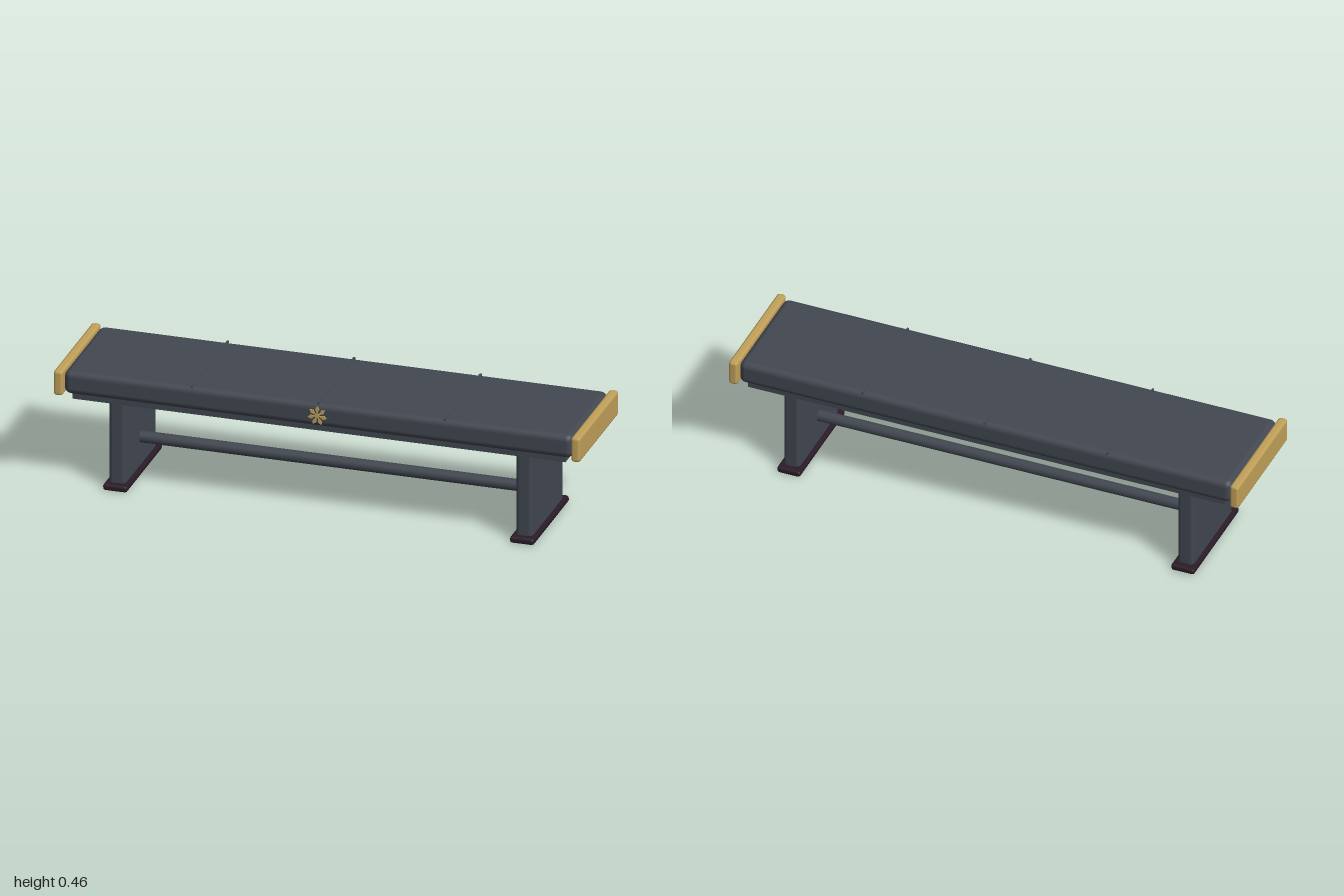
import * as THREE from 'three';
import { RoundedBoxGeometry } from 'three/addons/geometries/RoundedBoxGeometry.js';

export function createModel() {
  const model = new THREE.Group();
  model.name = 'bench';

  const material = (name, color) => {
    const m = new THREE.MeshStandardMaterial({ color });
    m.name = name;
    return m;
  };
  const slate = material('slate', 0x424751);
  const gold = material('gold', 0xc2a25a);
  const plum = material('dark plum', 0x2b1c28);

  const add = (name, geometry, mat, x, y, z, parent = model) => {
    const mesh = new THREE.Mesh(geometry, mat);
    mesh.name = name;
    mesh.position.set(x, y, z);
    parent.add(mesh);
    return mesh;
  };
  // Box with softened edges, given by its bottom and top heights
  const softBox = (name, mat, x, w, y0, y1, d, radius, segments = 1) =>
    add(name, new RoundedBoxGeometry(w, y1 - y0, d, segments, radius), mat, x, (y0 + y1) / 2, 0);

  // Cushioned seat and the board beneath it
  softBox('seat', slate, 0, 1.93, 0.363, 0.455, 0.44, 0.025, 2);
  add('seatBoard', new THREE.BoxGeometry(1.87, 0.024, 0.4), slate, 0, 0.354, 0);

  // Raised seams across the seat
  for (const x of [-0.48, 0, 0.48]) {
    add('seatSeam', new THREE.BoxGeometry(0.008, 0.008, 0.43), slate, x, 0.453, -0.003);
  }

  // End caps, legs and feet on both sides
  for (const side of [-1, 1]) {
    softBox('endCap', gold, side * 0.982, 0.036, 0.359, 0.457, 0.466, 0.012);
    softBox('leg', slate, side * 0.772, 0.064, 0.01, 0.357, 0.374, 0.016);
    softBox('foot', plum, side * 0.772, 0.092, 0, 0.026, 0.426, 0.01);
  }

  // Stretcher bar between the legs
  const bar = add('stretcher', new THREE.CylinderGeometry(0.022, 0.022, 1.52, 10), slate, 0, 0.136, 0);
  bar.rotation.z = Math.PI / 2;

  // Small flower ornament on the seat front
  const flower = new THREE.Group();
  flower.name = 'flowerOrnament';
  flower.position.set(0, 0.409, 0.219);
  model.add(flower);
  const petalShape = new THREE.Shape();
  petalShape.moveTo(0, 0.006);
  petalShape.lineTo(0.0075, 0.025);
  petalShape.lineTo(0, 0.037);
  petalShape.lineTo(-0.0075, 0.025);
  petalShape.closePath();
  const petalGeometry = new THREE.ExtrudeGeometry(petalShape, { depth: 0.005, bevelEnabled: false });
  for (let i = 0; i < 7; i++) {
    add('petal', petalGeometry, gold, 0, 0, 0, flower).rotation.z = (i / 7) * Math.PI * 2;
  }
  const heart = add('flowerHeart', new THREE.CylinderGeometry(0.009, 0.009, 0.006, 10), gold, 0, 0, 0.003, flower);
  heart.rotation.x = Math.PI / 2;

  return model;
}
